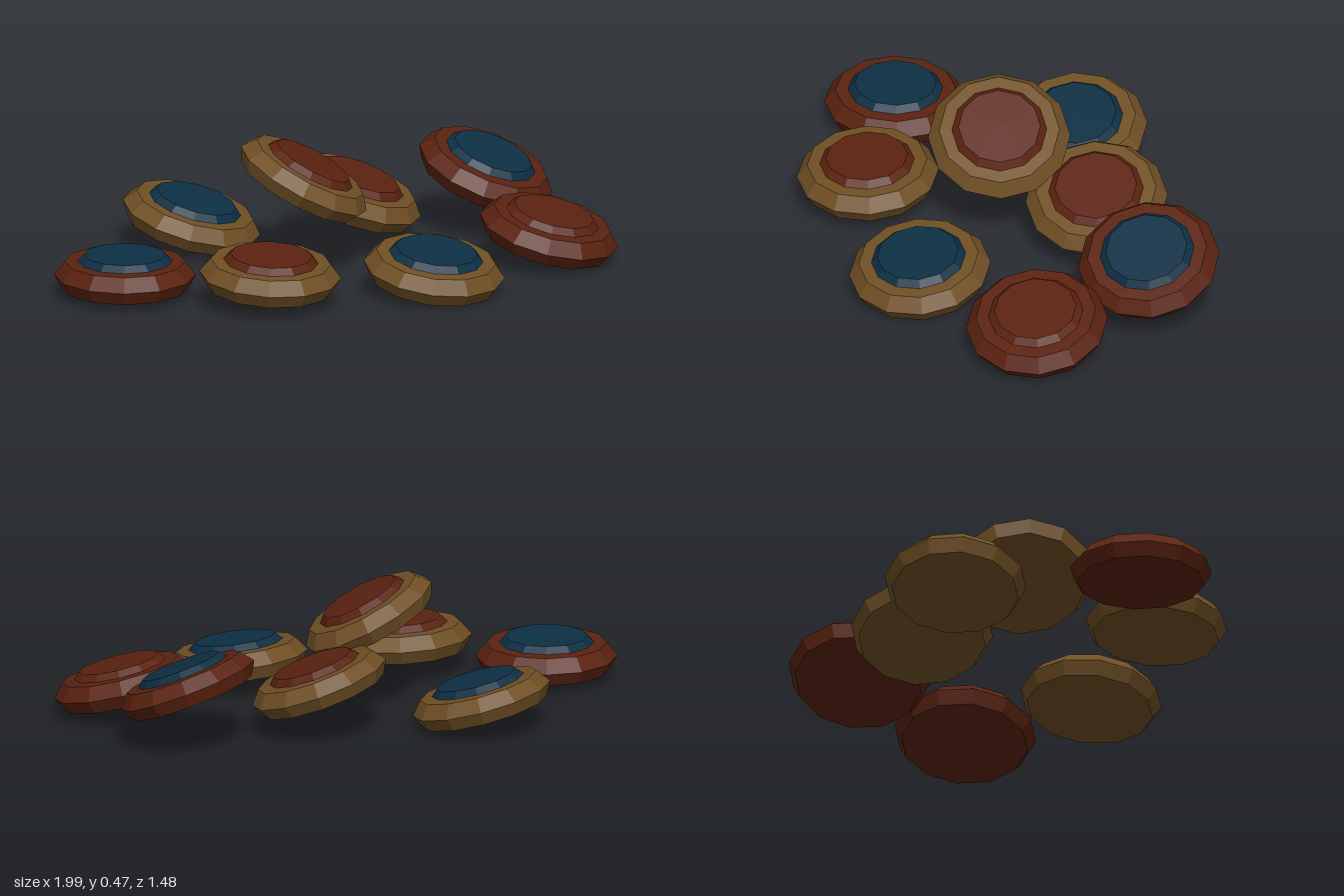
import * as THREE from 'three';

const SIDES = 12;

// Faceted solid of revolution from [radius, height] pairs, bottom to top
function facetedLathe(profile) {
  const points = profile.map(([r, y]) => new THREE.Vector2(r, y));
  const geometry = new THREE.LatheGeometry(points, SIDES).toNonIndexed();
  geometry.computeVertexNormals();
  return geometry;
}

export function createModel() {
  const model = new THREE.Group();
  model.name = 'scatteredDiscs';

  const material = (name, color) => {
    const m = new THREE.MeshStandardMaterial({ color });
    m.name = name;
    return m;
  };
  const gold = material('bronze gold', 0x6f4f24);
  const red = material('rust red', 0x5a2210);
  const blue = material('deep blue', 0x0d2f44);

  // Bevelled disc body and the low raised cap set on it
  const bodyGeometry = facetedLathe([[0, -0.048], [0.225, -0.048], [0.252, 0], [0.213, 0.048], [0.168, 0.05]]);
  const capGeometry = facetedLathe([[0.168, 0.05], [0.145, 0.073], [0, 0.075]]);

  // Centre x, y, z; lean towards +x and +z in degrees; body and cap colours
  const discs = [
    [-0.75, 0.088, 0.37, 0, 0, red, blue],
    [-0.522, 0.115, -0.264, 15, 4, gold, blue],
    [0.052, 0.19, -0.32, 20, 3, gold, red],
    [-0.122, 0.342, 0.02, 28, 0, gold, red],
    [0.517, 0.23, -0.492, 21, 8, red, blue],
    [0.745, 0.122, -0.09, 14, 5, red, red],
    [0.343, 0.094, 0.313, 7.5, 6, gold, blue],
    [-0.235, 0.122, 0.482, 3, 3, gold, red],
  ];

  const up = new THREE.Vector3(0, 1, 0);
  discs.forEach(([x, y, z, leanX, leanZ, bodyColour, capColour], i) => {
    const disc = new THREE.Group();
    disc.name = `disc${i + 1}`;
    const body = new THREE.Mesh(bodyGeometry, bodyColour);
    body.name = 'discBody';
    const cap = new THREE.Mesh(capGeometry, capColour);
    cap.name = 'discCap';
    disc.add(body, cap);
    disc.position.set(x, y, z);
    const normal = new THREE.Vector3(
      Math.tan(THREE.MathUtils.degToRad(leanX)), 1,
      Math.tan(THREE.MathUtils.degToRad(leanZ))).normalize();
    disc.quaternion.setFromUnitVectors(up, normal);
    model.add(disc);
  });

  return model;
}
